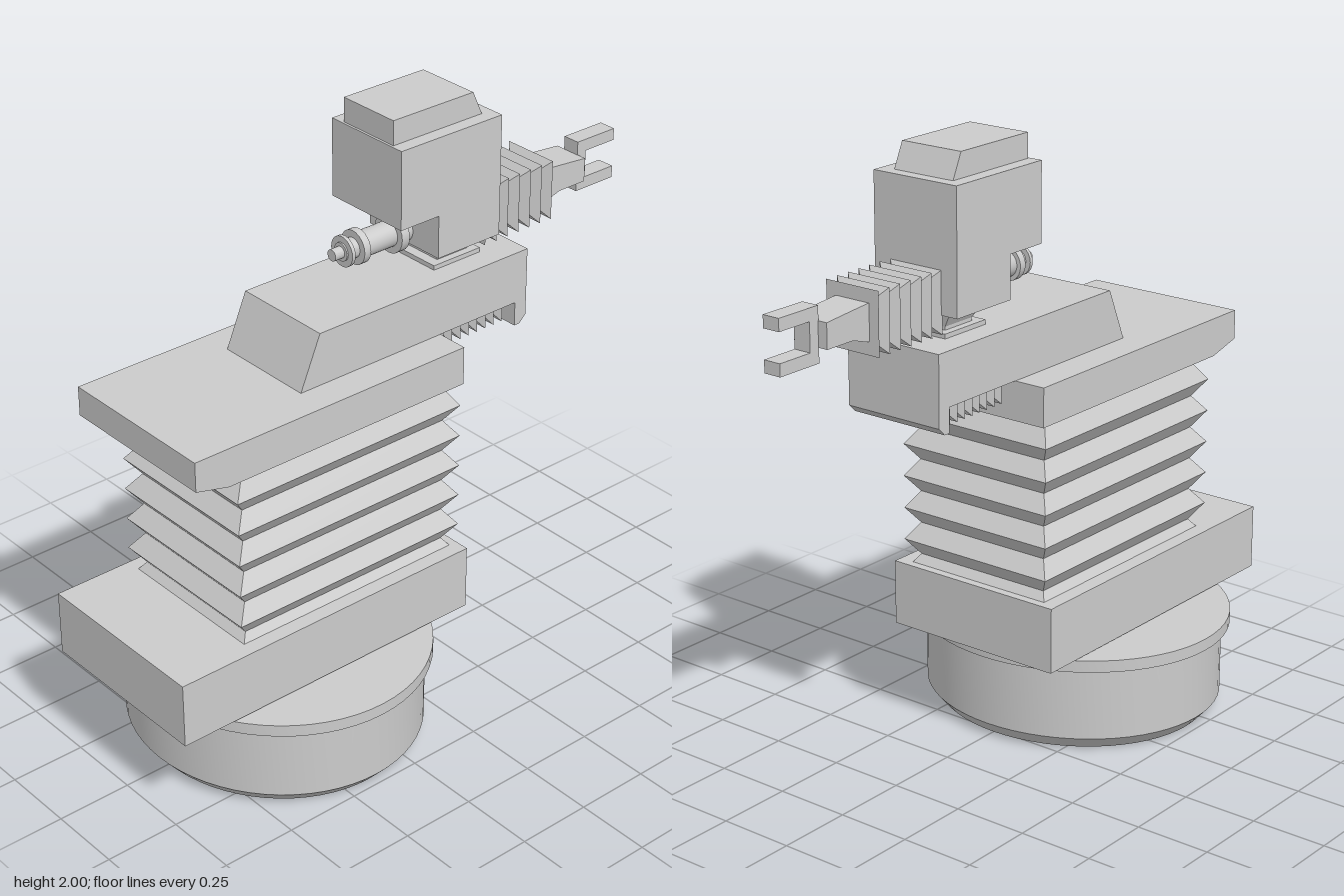
import * as THREE from 'three';
import { toCreasedNormals } from 'three/addons/utils/BufferGeometryUtils.js';

const material = new THREE.MeshStandardMaterial({ color: 0xcccccc });

// Stack of rectangular sections along y: [y, x0, x1, halfDepth]
function loft(sections) {
  const pos = [];
  const rings = sections.map(([y, x0, x1, h]) => [[x0, y, -h], [x0, y, h], [x1, y, h], [x1, y, -h]]);
  const quad = (a, b, c, d) => pos.push(...a, ...b, ...c, ...a, ...c, ...d);
  for (let r = 0; r < rings.length - 1; r++) {
    for (let i = 0; i < 4; i++) {
      const j = (i + 1) % 4;
      quad(rings[r][i], rings[r][j], rings[r + 1][j], rings[r + 1][i]);
    }
  }
  quad(...rings[0].slice().reverse());
  quad(...rings[rings.length - 1]);
  const g = new THREE.BufferGeometry();
  g.setAttribute('position', new THREE.Float32BufferAttribute(pos, 3));
  g.computeVertexNormals();
  return g;
}

// Same along x: [x, y0, y1, halfDepth]
const loftX = (sections) =>
  loft(sections.map(([x, y0, y1, h]) => [x, -y1, -y0, h])).rotateZ(-Math.PI / 2);

// Side outline in x, y extruded symmetrically in z
function slab(points, halfDepth) {
  const shape = new THREE.Shape(points.map(([x, y]) => new THREE.Vector2(x, y)));
  return new THREE.ExtrudeGeometry(shape, { depth: 2 * halfDepth, bevelEnabled: false })
    .translate(0, 0, -halfDepth);
}

function turned(profile, segments) {
  const g = new THREE.LatheGeometry(profile.map(([r, y]) => new THREE.Vector2(r, y)), segments);
  return toCreasedNormals(g, 0.5);
}

const box = (x0, x1, y0, y1, h) =>
  new THREE.BoxGeometry(x1 - x0, y1 - y0, 2 * h).translate((x0 + x1) / 2, (y0 + y1) / 2, 0);

export function createModel() {
  const model = new THREE.Group();
  const add = (name, geometry) => {
    const mesh = new THREE.Mesh(geometry, material);
    mesh.name = name;
    model.add(mesh);
    return mesh;
  };

  // Slightly oval foot with chamfered bottom and rim
  const foot = add('foot', turned([
    [0, 0], [0.465, 0], [0.505, 0.045], [0.505, 0.29], [0.533, 0.29], [0.533, 0.33], [0, 0.33],
  ], 64));
  foot.scale.x = 0.915;
  foot.position.x = -0.412;
  add('footSpacer', box(-0.8, -0.02, 0.32, 0.345, 0.27));

  // Lower block
  add('lowerBlock', box(-1, 0.125, 0.338, 0.555, 0.317));

  // Main vertical bellows
  const folds = [[0.55, -0.735, 0.1, 0.27]];
  for (let i = 0; i < 5; i++) {
    const y = 0.582 + i * 0.108;
    folds.push([y, -0.71, 0.075, 0.247], [y + 0.054, -0.753, 0.115, 0.284]);
  }
  folds.push([1.125, -0.712, 0.077, 0.25], [1.15, -0.712, 0.077, 0.25]);
  add('mainBellows', loft(folds));

  // Top plate with sloped underside at one end
  add('topPlate', slab([
    [-0.9, 1.17], [-0.78, 1.14], [0.127, 1.14], [0.127, 1.268], [-0.9, 1.268],
  ], 0.284));

  // Sliding arm with hooked end
  add('arm', slab([
    [-0.425, 1.268], [0.44, 1.268], [0.44, 1.187], [0.462, 1.187], [0.487, 1.212],
    [0.487, 1.442], [-0.35, 1.442],
  ], 0.176));

  // Small bellows under the arm
  const armFolds = [];
  for (let i = 0; i <= 18; i++) {
    const out = i % 2;
    armFolds.push([0.125 + i * 0.0176, out ? 1.19 : 1.215, 1.27, out ? 0.135 : 0.11]);
  }
  add('armBellows', loftX(armFolds));

  // Swivel under the head
  add('swivelPlate', box(0.17, 0.36, 1.44, 1.457, 0.095));
  add('swivelNeck', loft([[1.455, 0.205, 0.33, 0.07], [1.468, 0.205, 0.33, 0.07],
    [1.522, 0.165, 0.34, 0.1]]));

  // Head housing overhanging at the back, with cap
  add('head', slab([
    [0.13, 1.52], [0.38, 1.52], [0.38, 1.92], [-0.02, 1.92], [-0.02, 1.662], [0.13, 1.662],
  ], 0.158));
  add('headCap', slab([[-0.012, 1.92], [0.34, 1.92], [0.303, 2], [-0.012, 2]], 0.112));

  // Wrist bellows
  const wristFolds = [];
  for (let i = 0; i <= 12; i++) {
    const h = i % 2 ? 0.072 : 0.1;
    wristFolds.push([0.378 + i * 0.0235, 1.56 - h, 1.56 + h, h]);
  }
  add('wristBellows', loftX(wristFolds));

  // Tapered wrist and two-pronged fork
  add('wrist', loftX([[0.64, 1.5, 1.618, 0.063], [0.67, 1.503, 1.617, 0.063],
    [0.73, 1.522, 1.612, 0.063], [0.84, 1.522, 1.602, 0.063]]));
  add('fork', slab([
    [0.838, 1.475], [1, 1.475], [1, 1.515], [0.875, 1.515], [0.875, 1.607],
    [1, 1.607], [1, 1.647], [0.838, 1.647],
  ], 0.03));

  // Stepped plug at the back of the head
  const plug = add('plug', turned([
    [0, 0], [0.019, 0], [0.019, 0.035], [0.03, 0.035], [0.03, 0.04], [0.05, 0.04], [0.05, 0.052],
    [0.033, 0.052], [0.033, 0.083], [0.056, 0.083], [0.056, 0.108], [0.042, 0.108],
    [0.042, 0.225], [0.064, 0.225], [0.064, 0.255], [0.042, 0.255], [0.042, 0.295], [0, 0.295],
  ], 24));
  plug.rotation.z = -Math.PI / 2;
  plug.position.set(-0.157, 1.565, 0);

  return model;
}
